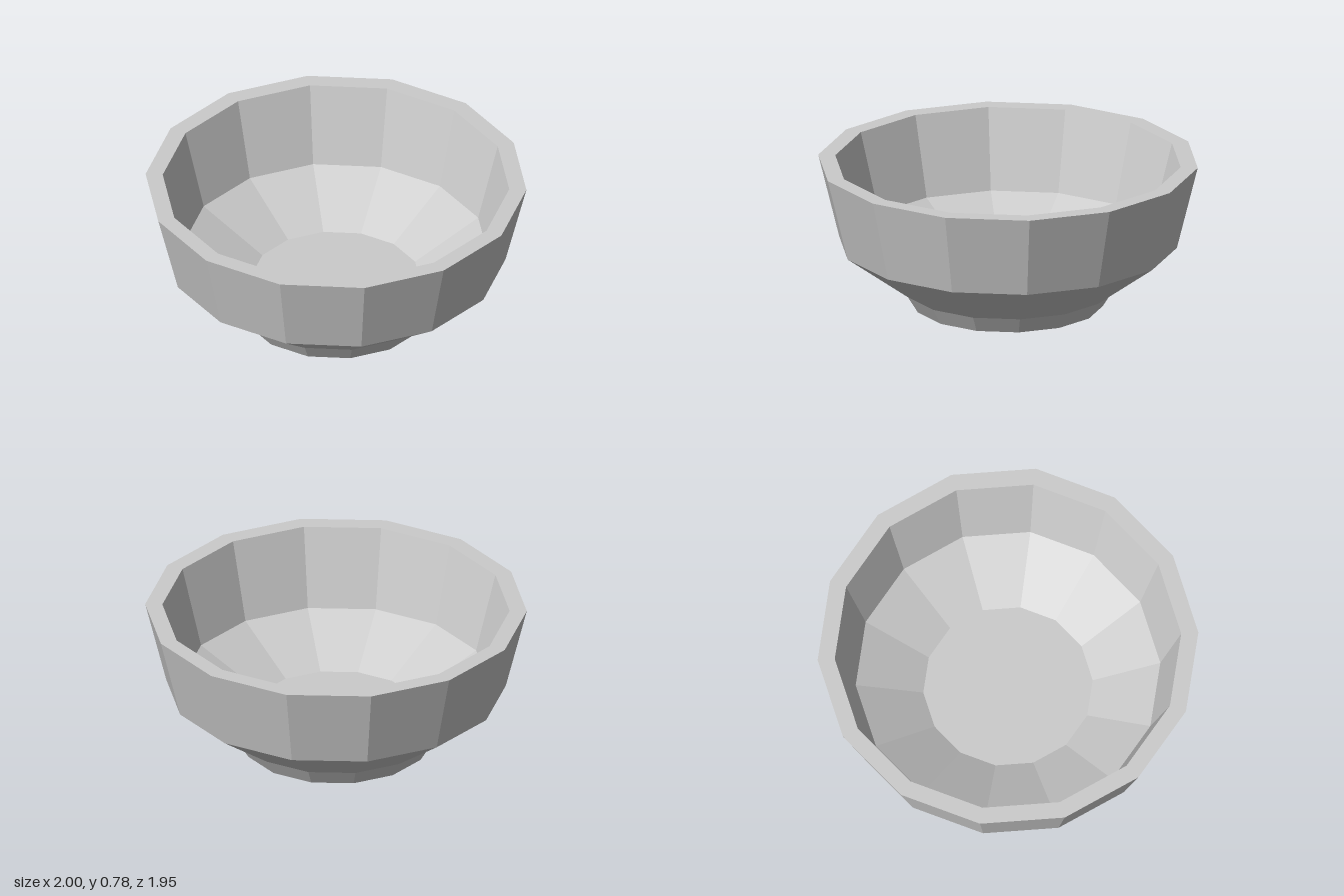
import * as THREE from 'three';

const SIDES = 14;

// Faceted ring of surfaces turned around y, with a corner on the +x axis
function turned(name, profile, material) {
  const points = profile.map(([r, y]) => new THREE.Vector2(r, y));
  const geometry = new THREE.LatheGeometry(points, SIDES, Math.PI / 2);
  const mesh = new THREE.Mesh(geometry, material);
  mesh.name = name;
  return mesh;
}

export function createModel() {
  const group = new THREE.Group();
  group.name = 'bowl';
  const material = new THREE.MeshStandardMaterial({ color: 0xcccccc, flatShading: true });

  // Each profile continues from the last: underside, outside, rim, inside
  group.add(
    turned('foot', [[0, 0], [0.5, 0], [0.555, 0.09]], material),
    turned('outerWall', [[0.555, 0.09], [0.89, 0.335], [1, 0.78]], material),
    turned('rim', [[1, 0.78], [0.91, 0.78]], material),
    turned('innerWall', [[0.91, 0.78], [0.8, 0.355], [0.445, 0.165]], material),
    turned('innerFloor', [[0.445, 0.165], [0, 0.165]], material),
  );
  return group;
}
